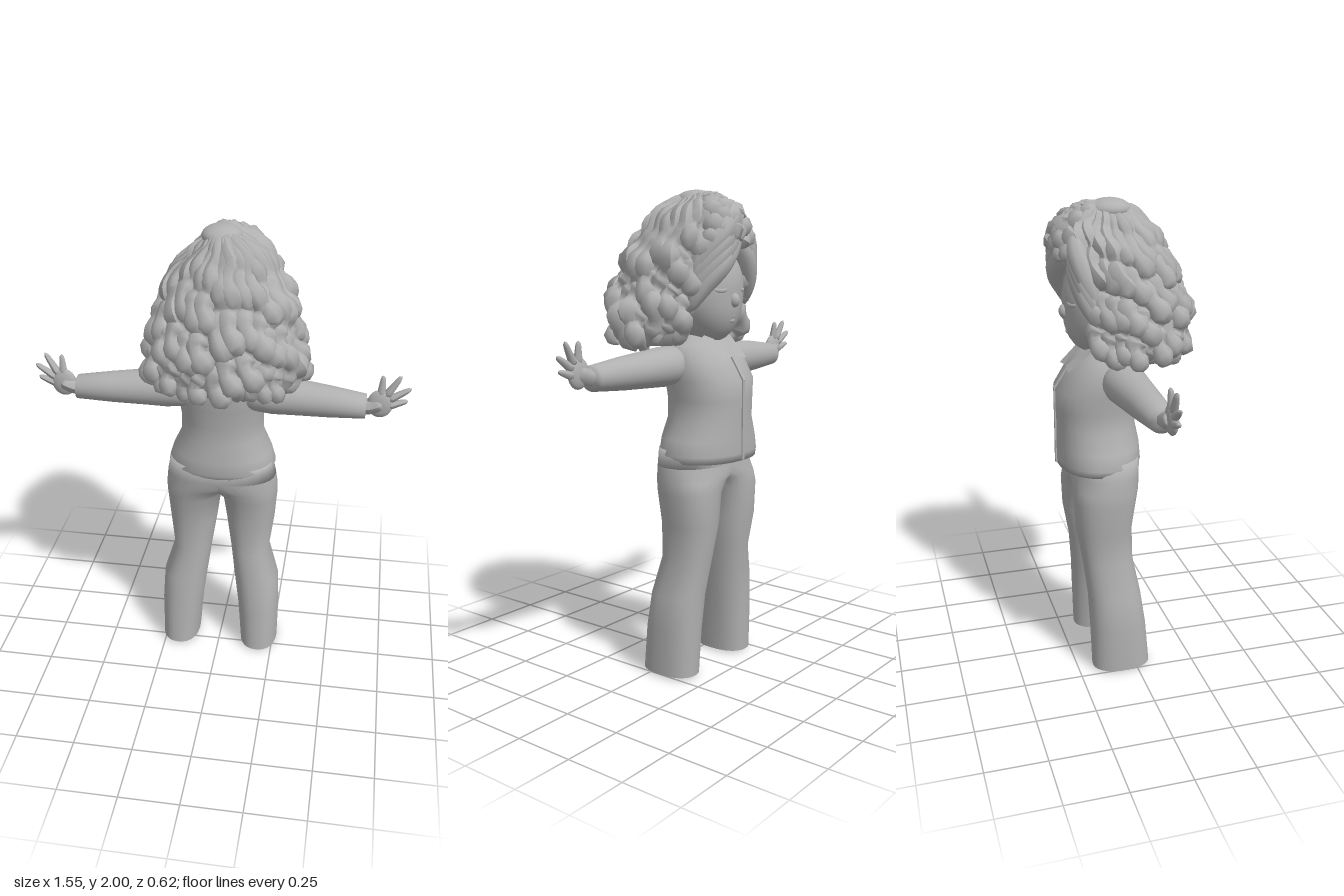
import * as THREE from 'three';

const grey = new THREE.MeshStandardMaterial({ color: 0xb0b0b0, side: THREE.DoubleSide });
grey.name = 'plain grey';
const V = (x, y, z) => new THREE.Vector3(x, y, z);

// small seeded generator for hair variation
let seed = 7;
const rand = () => (seed = (seed * 16807) % 2147483647) / 2147483647;

function add(parent, name, geometry) {
  const mesh = new THREE.Mesh(geometry, grey);
  mesh.name = name;
  parent.add(mesh);
  return mesh;
}

// Skin over rounded cross-sections; rows are [y, xMin, xMax, zMin, zMax], rising
function loft(rows, { n = 2.3, sides = 28, capBottom = true, rule = null } = {}) {
  const pos = [], index = [];
  const pow = (c) => Math.sign(c) * Math.abs(c) ** (2 / n);
  for (const [y, x0, x1, z0, z1] of rows) {
    for (let j = 0; j < sides; j++) {
      const a = (j / sides) * Math.PI * 2;
      const p = V((x0 + x1) / 2 + pow(Math.cos(a)) * (x1 - x0) / 2, y, (z0 + z1) / 2 + pow(Math.sin(a)) * (z1 - z0) / 2);
      if (rule) rule(p);
      pos.push(p.x, p.y, p.z);
    }
  }
  for (let i = 0; i < rows.length - 1; i++) {
    for (let j = 0; j < sides; j++) {
      const a = i * sides + j, b = i * sides + (j + 1) % sides;
      index.push(a, a + sides, b, b, a + sides, b + sides);
    }
  }
  const cap = (r, top) => {
    const [y, x0, x1, z0, z1] = rows[r], c = pos.length / 3;
    pos.push((x0 + x1) / 2, y, (z0 + z1) / 2);
    for (let j = 0; j < sides; j++) {
      const a = r * sides + j, b = r * sides + (j + 1) % sides;
      index.push(c, top ? b : a, top ? a : b);
    }
  };
  if (capBottom) cap(0, false);
  cap(rows.length - 1, true);
  const g = new THREE.BufferGeometry();
  g.setAttribute('position', new THREE.Float32BufferAttribute(pos, 3));
  g.setIndex(index);
  g.computeVertexNormals();
  return g;
}

// Tube whose thickness follows a rule along its length
function strand(points, radius, thickness, segs = 12, sides = 7) {
  const curve = new THREE.CatmullRomCurve3(points);
  const g = new THREE.TubeGeometry(curve, segs, radius, sides);
  const p = g.attributes.position, v = V(0, 0, 0);
  for (let i = 0; i <= segs; i++) {
    const c = curve.getPointAt(i / segs), k = thickness(i / segs);
    for (let j = 0; j <= sides; j++) {
      const q = i * (sides + 1) + j;
      v.fromBufferAttribute(p, q).sub(c).multiplyScalar(k).add(c);
      p.setXYZ(q, v.x, v.y, v.z);
    }
  }
  g.computeVertexNormals();
  return g;
}
const roundEnds = (t) => Math.max(0.05, Math.sqrt(1 - (2 * t - 1) ** 6));
const pointed = (t) => Math.max(0.05, Math.sqrt(Math.sin(Math.PI * t)));

function ellipsoid(c, r) {
  return new THREE.SphereGeometry(1, 28, 20).scale(...r).translate(...c);
}

// Outline of the hair: [y, xMin, xMax, zMin, zMax]
const HAIR = [
  [1.35, -.27, .33, -.16, .22], [1.42, -.315, .38, -.23, .295], [1.5, -.305, .37, -.25, .305],
  [1.6, -.285, .34, -.26, .28], [1.7, -.255, .32, -.275, .245], [1.8, -.22, .27, -.295, .2],
  [1.9, -.14, .205, -.275, .14], [1.96, -.08, .11, -.19, .07], [2.0, -.03, .03, -.08, .02],
];
function hairAt(y) {
  let i = 0;
  while (i < HAIR.length - 2 && y > HAIR[i + 1][0]) i++;
  const a = HAIR[i], b = HAIR[i + 1];
  const t = THREE.MathUtils.clamp((y - a[0]) / (b[0] - a[0]), 0, 1);
  return a.map((q, k) => q + (b[k] - q) * t);
}
function hairPoint(angle, y, inset) {
  const [, x0, x1, z0, z1] = hairAt(y);
  const rx = Math.max(0.01, (x1 - x0) / 2 - inset), rz = Math.max(0.01, (z1 - z0) / 2 - inset);
  return V((x0 + x1) / 2 + rx * Math.sin(angle), y, (z0 + z1) / 2 + rz * Math.cos(angle));
}

// Lock that leaves the crown smoothly and curls more towards its tip
function curlyLock(angle, yEnd, inset, radius) {
  const top = 1.95 + rand() * 0.012;
  const pts = [V(Math.sin(angle) * .01, top + .01, -.05 + Math.cos(angle) * .01)];
  const phase = rand() * 6.28, turns = 3.4 + rand() * 1.4;
  for (let i = 0; i <= 26; i++) {
    const u = i / 26, y = top - (top - yEnd) * u ** 1.4;
    const w = phase + u * turns * 6.28, amp = 0.004 + 0.016 * Math.min(1, u * 1.4);
    pts.push(hairPoint(angle + Math.cos(w) * amp * 4, y, inset + Math.sin(w) * amp));
  }
  const beads = (t) => (0.6 + 0.4 * Math.min(1, t * 2.5)) * roundEnds(t)
    * (1 + 0.22 * Math.min(1, t * 1.5) * Math.sin(phase * 2 + t * turns * 12.56));
  return strand(pts, radius, beads, 46, 7);
}

function buildHair() {
  const hair = new THREE.Group();
  hair.name = 'hair';
  // inner mass, pulled back behind the face
  const rows = [];
  for (let i = 0; i <= 14; i++) {
    const y = 1.385 + i * 0.04, [, x0, x1, z0, z1] = hairAt(y), d = 0.05;
    rows.push([y, x0 + d, x1 - d, z0 + d, z1 - d]);
  }
  rows.push([1.97, -.03, .03, -.08, .0]);
  add(hair, 'hairMass', loft(rows, {
    n: 2, sides: 40,
    rule: (p) => { if (p.y < 1.74 && p.z < -0.06 && Math.abs(p.x) < 0.19) p.z = -0.06; },
  }));
  add(hair, 'crown', ellipsoid([.005, 1.955, -.05], [.08, .043, .085]));
  // outer and inner layers of locks, short over the forehead
  for (const [count, inset, radius, drop] of [[29, 0.046, 0.042, 0], [22, 0.11, 0.042, 0.01]]) {
    for (let i = 0; i < count; i++) {
      const a = ((i + 0.35 + rand() * 0.3) / count) * Math.PI * 2 - Math.PI;
      const fringe = Math.abs(a) > 2.5;
      if (fringe && drop) continue;
      add(hair, 'curlyLock', curlyLock(a, fringe ? 1.78 : 1.355 + drop + rand() * 0.04, inset + rand() * 0.012, radius));
    }
  }
  // thick swept fringe, parted off centre
  for (let i = 0; i < 4; i++) {
    const k = i * 0.038;
    add(hair, 'sweptFringe', strand([V(-.05, 1.93 - k / 2, -.16 - k / 2), V(.02, 1.895 - k, -.235), V(.1, 1.82 - k, -.24),
      V(.165, 1.73 - k, -.2), V(.2, 1.63 - k, -.16)], 0.05, pointed, 24, 9));
  }
  for (let i = 0; i < 3; i++) {
    const k = i * 0.038;
    add(hair, 'sideFringe', strand([V(-.03, 1.91 - k, -.19), V(-.1, 1.83 - k, -.21), V(-.155, 1.73 - k, -.19),
      V(-.19, 1.61 - k, -.15)], 0.045, pointed, 20, 9));
  }
  return hair;
}

function buildHead() {
  const head = new THREE.Group();
  head.name = 'head';
  const skull = ellipsoid([0, 1.6, -.08], [.175, .215, .165]);
  const p = skull.attributes.position;
  for (let i = 0; i < p.count; i++) { // narrower jaw, fuller chin
    const k = Math.max(0, 1.56 - p.getY(i));
    p.setX(i, p.getX(i) * (1 - k * 0.9));
    if (p.getZ(i) < -.08) p.setZ(i, p.getZ(i) - k * 0.2);
  }
  skull.computeVertexNormals();
  add(head, 'face', skull);
  add(head, 'neck', new THREE.CylinderGeometry(.06, .07, .16, 20).translate(0, 1.4, -.06));
  add(head, 'nose', ellipsoid([0, 1.56, -.236], [.024, .03, .026]));
  add(head, 'upperLip', strand([V(-.035, 1.492, -.22), V(0, 1.498, -.229), V(.035, 1.492, -.22)], .01, pointed));
  add(head, 'lowerLip', strand([V(-.028, 1.482, -.219), V(0, 1.477, -.226), V(.028, 1.482, -.219)], .01, pointed));
  for (const s of [-1, 1]) {
    add(head, 'eyelid', strand([V(s * .035, 1.607, -.236), V(s * .07, 1.598, -.224), V(s * .11, 1.607, -.2)], .011, pointed));
  }
  return head;
}

export function createModel() {
  const model = new THREE.Group();
  model.name = 'curlyHairedFigure';
  model.add(buildHair(), buildHead());

  // jacket
  add(model, 'jacket', loft([
    [.91, -.222, .222, -.283, .05], [.94, -.232, .232, -.286, .063], [1.0, -.214, .214, -.286, .06],
    [1.08, -.176, .176, -.284, .045], [1.16, -.176, .176, -.287, .045], [1.24, -.187, .187, -.286, .055],
    [1.32, -.19, .19, -.235, .065], [1.38, -.165, .165, -.19, .06], [1.42, -.08, .08, -.13, .02],
  ], { n: 2.2 }));
  add(model, 'frontSeam', new THREE.BoxGeometry(.014, .33, .008).translate(0, 1.08, -.287));
  const upperSeam = add(model, 'upperSeam', new THREE.BoxGeometry(.014, .11, .008));
  upperSeam.position.set(0, 1.285, -.26);
  upperSeam.rotation.x = .58;

  for (const s of [-1, 1]) {
    const side = new THREE.Group();
    side.name = s > 0 ? 'leftSide' : 'rightSide';
    model.add(side);

    // each trouser leg widens into the shared hip section
    const leg = [
      [.012, .10, .268, -.185, .065], [.2, .085, .27, -.19, .05], [.35, .065, .262, -.195, .03], [.5, .045, .216, -.21, .005],
      [.65, .022, .235, -.235, 0], [.78, .004, .245, -.24, .02], [.83, -.06, .244, -.238, .035],
      [.89, -.238, .238, -.233, .053], [.96, -.222, .222, -.225, .055],
    ].map(([y, a, b, c, d]) => [y, Math.min(s * a, s * b), Math.max(s * a, s * b), c, d]);
    add(side, 'trouserLeg', loft(leg, { capBottom: false }));
    add(side, 'shoe', ellipsoid([s * .184, .04, -.06], [.075, .037, .115]));

    // sleeve, lofted upright then laid along x
    const sleeve = [
      [.08, 1.25, 1.35, -.1, .02], [.15, 1.225, 1.378, -.13, .045], [.22, 1.217, 1.378, -.133, .049],
      [.3, 1.22, 1.37, -.12, .046], [.45, 1.225, 1.355, -.095, .043], [.6, 1.235, 1.335, -.07, .04],
    ].map(([y, a, b, c, d]) => [y, s > 0 ? -b : a, s > 0 ? -a : b, c, d]);
    add(side, 'sleeve', loft(sleeve, { n: 2 }).rotateZ(-s * Math.PI / 2));

    // hand with spread fingers
    add(side, 'wrist', strand([V(s * .58, 1.285, -.008), V(s * .62, 1.293, -.006), V(s * .67, 1.315, 0)], .034, roundEnds));
    add(side, 'palm', ellipsoid([s * .655, 1.308, 0], [.052, .06, .022]));
    for (const [x0, y0, x1, y1] of [[.685, 1.30, .765, 1.325], [.685, 1.325, .775, 1.38], [.675, 1.34, .732, 1.432], [.655, 1.34, .66, 1.43]]) {
      add(side, 'finger', strand([V(s * x0, y0, 0), V(s * (x0 + x1) / 2, (y0 + y1) / 2, -.004), V(s * x1, y1, -.008)], .019,
        (t) => (1 - .5 * t) * roundEnds(t)));
    }

    // shirt collar wing
    const wing = new THREE.BufferGeometry().setFromPoints([
      V(s * .01, 1.335, -.24), V(s * .08, 1.325, -.245), V(s * .1, 1.41, -.15), V(s * .055, 1.43, -.14)]);
    wing.setIndex(s > 0 ? [0, 2, 1, 0, 3, 2] : [0, 1, 2, 0, 2, 3]);
    wing.computeVertexNormals();
    add(side, 'collarWing', wing);
  }
  return model;
}
